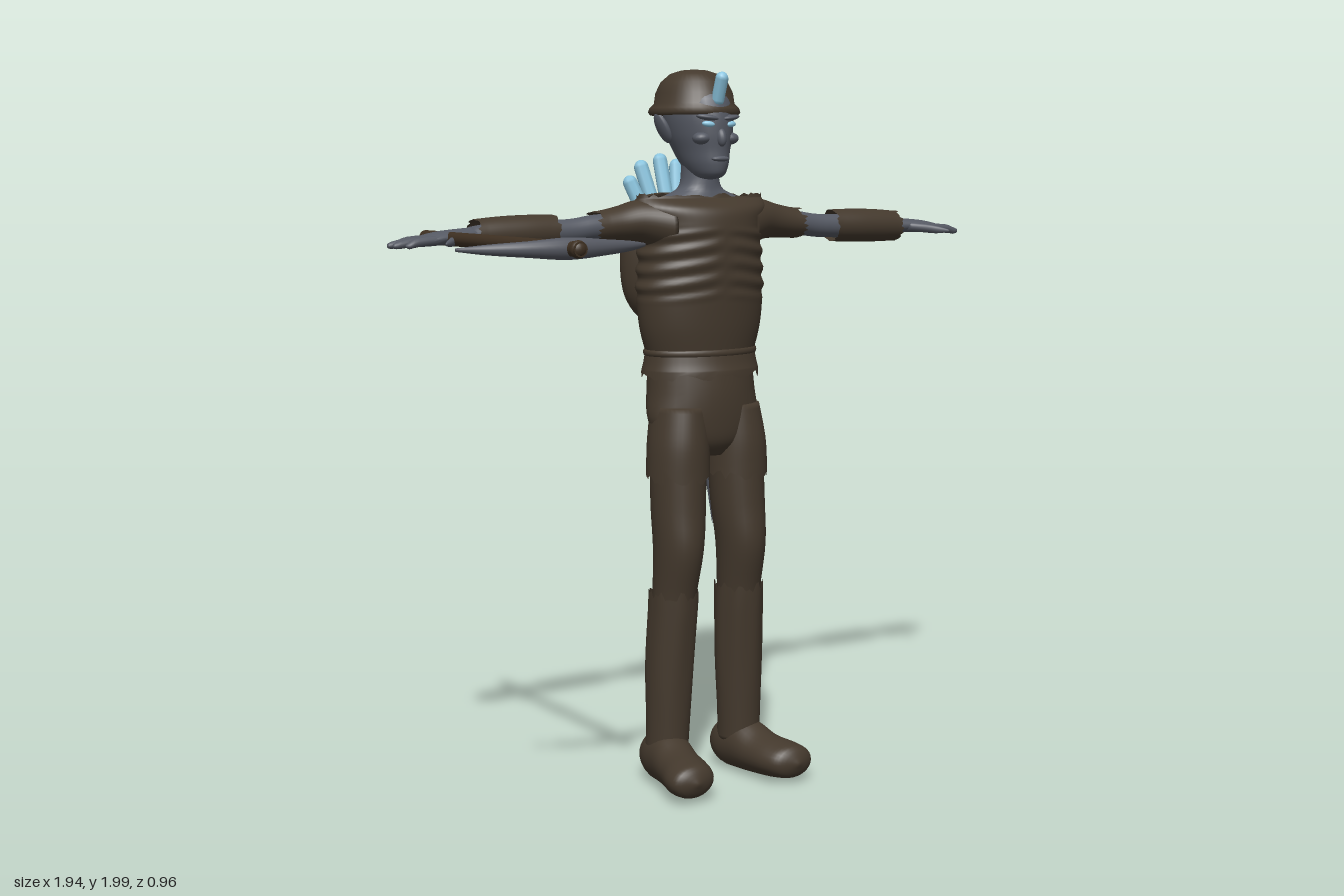
import * as THREE from 'three';

const mat = (name, color, side = THREE.FrontSide) => {
  const m = new THREE.MeshStandardMaterial({ color, side });
  m.name = name;
  return m;
};
const hash = (i) => { const s = Math.sin(i * 12.9898 + 4.1) * 43758.5453; return s - Math.floor(s); };
const MID = -0.215; // depth of the body's centre line

// Catmull-Rom sample of the sections, component by component
function sample(secs, u) {
  const f = u * (secs.length - 1), k = Math.min(Math.floor(f), secs.length - 2), t = f - k;
  const at = (i) => secs[Math.max(0, Math.min(secs.length - 1, i))];
  const [p, q, r, s] = [at(k - 1), at(k), at(k + 1), at(k + 2)];
  return q.map((_, i) => 0.5 * (2 * q[i] + (r[i] - p[i]) * t
    + (2 * p[i] - 5 * q[i] + 4 * r[i] - s[i]) * t * t
    + (3 * q[i] - p[i] - 3 * r[i] + s[i]) * t * t * t));
}

// Skin of elliptical sections, listed in rising order along the axis:
// y: [y, x, z, rx, rz]   x: [x, z, y, rz, ry]   z: [z, y, x, ry, rx]
// lo / hi tear the first / last edge; arc limits it to a strip tapering at both ends
function loft(axis, secs, { n = 28, step = 5, lo = 0, hi = 0, bump, arc } = {}) {
  const rows = (secs.length - 1) * step, pos = [], idx = [], cols = arc ? n + 1 : n;
  const put = (t, a, b) => pos.push(...(axis === 'y' ? [a, t, b] : axis === 'x' ? [t, b, a] : [b, a, t]));
  for (let j = 0; j <= rows; j++) {
    const [t, a, b, ra, rb] = sample(secs, j / rows);
    for (let i = 0; i < cols; i++) {
      const w = arc ? arc[1] * Math.sin(Math.PI * j / rows) * (0.75 + 0.4 * hash(j)) : 0;
      const ang = arc ? arc[0] + w * (2 * i / n - 1) : 2 * Math.PI * i / n;
      const k = bump ? 1 + bump(t, ang) : 1;
      const tear = j === 0 ? -lo * hash(i) : j === rows ? hi * hash(i + 50) : 0;
      put(t + tear, a + Math.max(ra, 0.001) * k * Math.sin(ang), b + Math.max(rb, 0.001) * k * Math.cos(ang));
    }
  }
  for (let j = 0; j < rows; j++) for (let i = 0; i < n; i++) {
    const i2 = (i + 1) % cols, p = j * cols + i, q = j * cols + i2;
    idx.push(p, q, q + cols, p, q + cols, p + cols);
  }
  const cap = (s, j, flip) => {
    const c = pos.length / 3;
    put(s[0], s[1], s[2]);
    for (let i = 0; i < n; i++) {
      const p = j * cols + i, q = j * cols + (i + 1) % cols;
      idx.push(...(flip ? [c, q, p] : [c, p, q]));
    }
  };
  if (!arc && !lo) cap(secs[0], 0, true);
  if (!arc && !hi) cap(secs[secs.length - 1], rows, false);
  const g = new THREE.BufferGeometry();
  g.setAttribute('position', new THREE.Float32BufferAttribute(pos, 3));
  g.setIndex(idx);
  g.computeVertexNormals();
  return g;
}

// Copy reflected to the other side of the body
function mirrored(geo) {
  const g = geo.clone().scale(-1, 1, 1);
  const ix = g.index.array;
  for (let i = 0; i < ix.length; i += 3) [ix[i], ix[i + 1]] = [ix[i + 1], ix[i]];
  g.computeVertexNormals();
  return g;
}

// Ellipsoid with centre, radii and optional turn
function blob(c, r, rot = [0, 0, 0]) {
  const g = new THREE.SphereGeometry(1, 20, 14).scale(...r);
  return g.applyMatrix4(new THREE.Matrix4().makeRotationFromEuler(new THREE.Euler(...rot))).translate(...c);
}

export function createModel() {
  const cloth = mat('worn brown cloth', 0x44392d, THREE.DoubleSide);
  const skin = mat('grey skin', 0x555963, THREE.DoubleSide);
  const crystal = mat('pale blue crystal', 0x8cc6e0);
  const wood = mat('dark wood', 0x3e3022);
  const metal = mat('grey metal', 0x565962);

  const root = new THREE.Group();
  root.name = 'miner';
  const body = new THREE.Group();
  body.name = 'body';
  body.position.x = 0.04;
  root.add(body);
  const add = (name, geo, m, parent = body) => {
    const mesh = new THREE.Mesh(geo, m);
    mesh.name = name;
    parent.add(mesh);
    return mesh;
  };
  const pair = (name, geo, m) => {
    add('left' + name, geo, m);
    add('right' + name, mirrored(geo), m);
  };

  // Shirt with rib folds and a wide torn neckline
  const ribs = (y, a) => {
    const band = THREE.MathUtils.smoothstep(y, 1.36, 1.4) * (1 - THREE.MathUtils.smoothstep(y, 1.55, 1.58));
    const side = Math.min(1, Math.abs(Math.sin(a)) * 5);
    return 0.022 * band * side * Math.sin((y + 0.03 * Math.abs(Math.sin(a))) * 2 * Math.PI / 0.046);
  };
  add('shirt', loft('y', [
    [1.22, 0, MID, 0.162, 0.112], [1.3, 0, MID, 0.184, 0.122], [1.4, 0, MID, 0.192, 0.128],
    [1.5, 0, MID, 0.186, 0.132], [1.58, 0, MID - 0.005, 0.188, 0.135], [1.625, 0, MID - 0.005, 0.208, 0.118],
    [1.652, 0, MID, 0.2, 0.062],
  ], { n: 56, step: 14, hi: 0.012, bump: ribs }), cloth);
  add('neckAndShoulders', loft('y', [
    [1.58, 0, MID, 0.19, 0.07], [1.635, 0, MID, 0.18, 0.066], [1.66, 0, MID, 0.1, 0.06],
    [1.69, 0, MID, 0.056, 0.056], [1.78, 0, MID, 0.05, 0.055],
  ]), skin);

  // Belt skirt and shorts
  add('skirt', loft('y', [
    [1.175, 0, MID, 0.176, 0.13], [1.2, 0, MID, 0.17, 0.122], [1.238, 0, MID, 0.164, 0.114],
  ], { n: 48, lo: 0.022 }), cloth);
  const belt = new THREE.TorusGeometry(1, 0.05, 8, 48).rotateX(Math.PI / 2).scale(0.164, 0.2, 0.114);
  add('belt', belt.translate(0, 1.228, MID), cloth);
  add('shortsSeat', loft('y', [
    [0.94, 0, -0.185, 0.06, 0.05], [0.98, 0, -0.19, 0.135, 0.085], [1.04, 0, -0.2, 0.17, 0.105],
    [1.12, 0, -0.212, 0.163, 0.118], [1.22, 0, MID, 0.155, 0.108],
  ]), cloth);

  // Legs: shorts leg, trouser leg with a tear, boot
  pair('ShortsLeg', loft('y', [
    [0.9, 0.096, -0.18, 0.087, 0.093], [0.98, 0.094, -0.182, 0.084, 0.094], [1.08, 0.086, -0.19, 0.075, 0.09],
  ], { n: 40, lo: 0.035 }), cloth);
  const leg = [
    [0.45, 0.112, -0.19, 0.058, 0.062], [0.55, 0.108, -0.182, 0.06, 0.067], [0.68, 0.104, -0.167, 0.066, 0.082],
    [0.8, 0.099, -0.175, 0.074, 0.085], [0.95, 0.095, -0.182, 0.076, 0.087],
  ];
  pair('TrouserLeg', loft('y', leg), cloth);
  pair('LegTear', loft('y', [
    [0.72, 0.102, -0.17, 0.071, 0.087], [0.82, 0.098, -0.176, 0.079, 0.091],
    [0.91, 0.096, -0.18, 0.09, 0.097], [1.03, 0.09, -0.186, 0.084, 0.098],
  ], { n: 8, arc: [Math.PI * 1.24, 0.36] }), skin);
  pair('BootShaft', loft('y', [
    [0.1, 0.122, -0.205, 0.06, 0.064], [0.18, 0.12, -0.2, 0.062, 0.062], [0.35, 0.116, -0.196, 0.068, 0.069],
    [0.54, 0.109, -0.184, 0.068, 0.074],
  ], { n: 40, hi: 0.03, bump: (y, a) => 0.018 * Math.sin(7 * a) * THREE.MathUtils.smoothstep(y, 0.2, 0.4) }), cloth);
  pair('BootFoot', loft('z', [
    [-0.306, 0.075, 0.12, 0.006, 0.006], [-0.29, 0.075, 0.12, 0.045, 0.04], [-0.24, 0.08, 0.122, 0.072, 0.062],
    [-0.17, 0.082, 0.13, 0.075, 0.066], [-0.1, 0.07, 0.142, 0.06, 0.068], [-0.03, 0.067, 0.158, 0.052, 0.074],
    [0.015, 0.067, 0.166, 0.042, 0.058], [0.036, 0.067, 0.168, 0.005, 0.006],
  ]), cloth);

  // Arms: torn sleeve, bare arm, bracer, hand
  const armZ = -0.225;
  pair('Sleeve', loft('x', [
    [0.13, MID, 1.575, 0.1, 0.075], [0.2, -0.222, 1.588, 0.07, 0.058], [0.26, armZ, 1.582, 0.056, 0.048],
    [0.32, armZ, 1.575, 0.05, 0.043],
  ], { n: 40, hi: 0.025 }), cloth);
  pair('Arm', loft('x', [
    [0.2, armZ, 1.58, 0.04, 0.036], [0.33, armZ, 1.575, 0.034, 0.034], [0.42, armZ, 1.565, 0.03, 0.033],
    [0.6, armZ, 1.562, 0.034, 0.034], [0.7, armZ, 1.56, 0.026, 0.024],
  ]), skin);
  pair('Bracer', loft('x', [
    [0.462, armZ, 1.565, 0.045, 0.046], [0.54, armZ, 1.564, 0.049, 0.048], [0.62, armZ, 1.562, 0.048, 0.047],
    [0.68, armZ, 1.56, 0.045, 0.044],
  ], { n: 40, lo: 0.012, hi: 0.014 }), cloth);
  pair('Palm', loft('x', [
    [0.68, armZ, 1.56, 0.026, 0.023], [0.73, armZ, 1.56, 0.034, 0.02], [0.79, armZ, 1.556, 0.045, 0.018],
    [0.835, armZ, 1.55, 0.043, 0.014], [0.85, armZ, 1.548, 0.02, 0.006],
  ]), skin);
  [0.9, 0.925, 0.92, 0.895].forEach((tip, i) => {
    const z = armZ + (i - 1.5) * 0.023;
    pair('Finger' + (i + 1), loft('x', [
      [0.79, z, 1.554, 0.011, 0.011], [0.86, z, 1.549, 0.012, 0.012], [tip - 0.01, z, 1.541, 0.01, 0.009],
      [tip, z, 1.54, 0.002, 0.002],
    ], { n: 10, step: 3 }), skin);
  });
  pair('Thumb', loft('x', [
    [0.72, armZ + 0.015, 1.557, 0.016, 0.013], [0.76, -0.18, 1.553, 0.019, 0.013], [0.79, -0.15, 1.548, 0.013, 0.011],
    [0.815, -0.125, 1.545, 0.004, 0.004],
  ], { n: 12, step: 4 }), skin);

  // Head and face
  add('head', loft('y', [
    [1.7, 0, -0.18, 0.01, 0.015], [1.71, 0, -0.178, 0.037, 0.06], [1.74, 0, -0.19, 0.055, 0.085],
    [1.78, 0, -0.207, 0.068, 0.102], [1.825, 0, -0.218, 0.081, 0.116], [1.88, 0, -0.225, 0.086, 0.118],
    [1.94, 0, -0.235, 0.075, 0.1], [1.97, 0, -0.24, 0.02, 0.03],
  ]), skin);
  add('nose', blob([0, 1.815, -0.107], [0.014, 0.026, 0.017], [-0.25, 0, 0]), skin);
  add('lips', blob([0, 1.757, -0.11], [0.028, 0.008, 0.012]), skin);
  pair('Cheek', blob([0.045, 1.812, -0.135], [0.026, 0.017, 0.025]), skin);
  pair('Brow', blob([0.038, 1.868, -0.117], [0.032, 0.008, 0.016], [0, 0.3, 0.12]), skin);
  pair('Eye', blob([0.037, 1.85, -0.113], [0.018, 0.008, 0.008], [0, 0.35, 0.1]), crystal);
  pair('Ear', blob([0.1, 1.84, -0.245], [0.012, 0.045, 0.026], [-0.2, 0, -0.4]), skin);

  // Domed helmet with rolled brim and front crystal
  const dome = [[0.1, 0.012], [0.118, 0], [0.124, 0.008], [0.12, 0.02], [0.108, 0.032], [0.104, 0.06],
    [0.09, 0.09], [0.065, 0.112], [0.035, 0.122], [0, 0.125]].map((p) => new THREE.Vector2(...p));
  const helmet = new THREE.LatheGeometry(dome, 40).scale(1, 1, 1.1);
  add('helmet', helmet.translate(0, 1.875, -0.243), cloth);
  const shard = (len, r) => new THREE.CapsuleGeometry(r, len - 2 * r, 5, 8);
  const lamp = add('helmetCrystal', shard(0.095, 0.018), crystal);
  lamp.position.set(0, 1.944, -0.113);
  lamp.rotation.x = 0.35;

  // Backpack full of crystals
  add('backpack', loft('y', [
    [1.285, 0, -0.4, 0.01, 0.01], [1.305, 0, -0.405, 0.075, 0.045], [1.37, 0, -0.405, 0.125, 0.07],
    [1.46, 0, -0.4, 0.142, 0.08], [1.55, 0, -0.392, 0.138, 0.078], [1.62, 0, -0.385, 0.115, 0.065],
    [1.655, 0, -0.383, 0.07, 0.04], [1.662, 0, -0.383, 0.01, 0.01],
  ]), cloth);
  const shards = new THREE.Group();
  shards.name = 'backpackCrystals';
  body.add(shards);
  [[-0.09, 0.14, 1.645], [-0.05, 0.17, 1.672], [-0.002, 0.18, 1.685], [0.046, 0.17, 1.675], [0.09, 0.14, 1.645]]
    .forEach(([x, len, y], i) => {
      const s = add('crystal' + (i + 1), shard(len, 0.021), crystal, shards);
      s.position.set(x, y, -0.4 - 0.008 * (i % 2));
      s.rotation.set(-0.3, 0, -x * 3.4);
    });

  // Pickaxe held in the right hand
  const pick = new THREE.Group();
  pick.name = 'pickaxe';
  pick.position.set(-0.725, 1.555, 0);
  root.add(pick);
  add('handle', new THREE.CylinderGeometry(0.018, 0.018, 0.83, 16).rotateX(Math.PI / 2).translate(0, 0, 0.063), wood, pick);
  add('handleEnd', blob([0, 0, 0.465], [0.021, 0.021, 0.018]), wood, pick);
  add('pickHead', loft('x', [
    [-0.25, 0.345, 0, 0.004, 0.004], [-0.19, 0.38, 0, 0.013, 0.012], [-0.1, 0.412, 0, 0.018, 0.019],
    [0, 0.422, 0, 0.024, 0.026], [0.1, 0.412, 0, 0.018, 0.019], [0.19, 0.38, 0, 0.013, 0.012],
    [0.25, 0.345, 0, 0.004, 0.004],
  ], { n: 16 }), metal, pick);

  return root;
}
